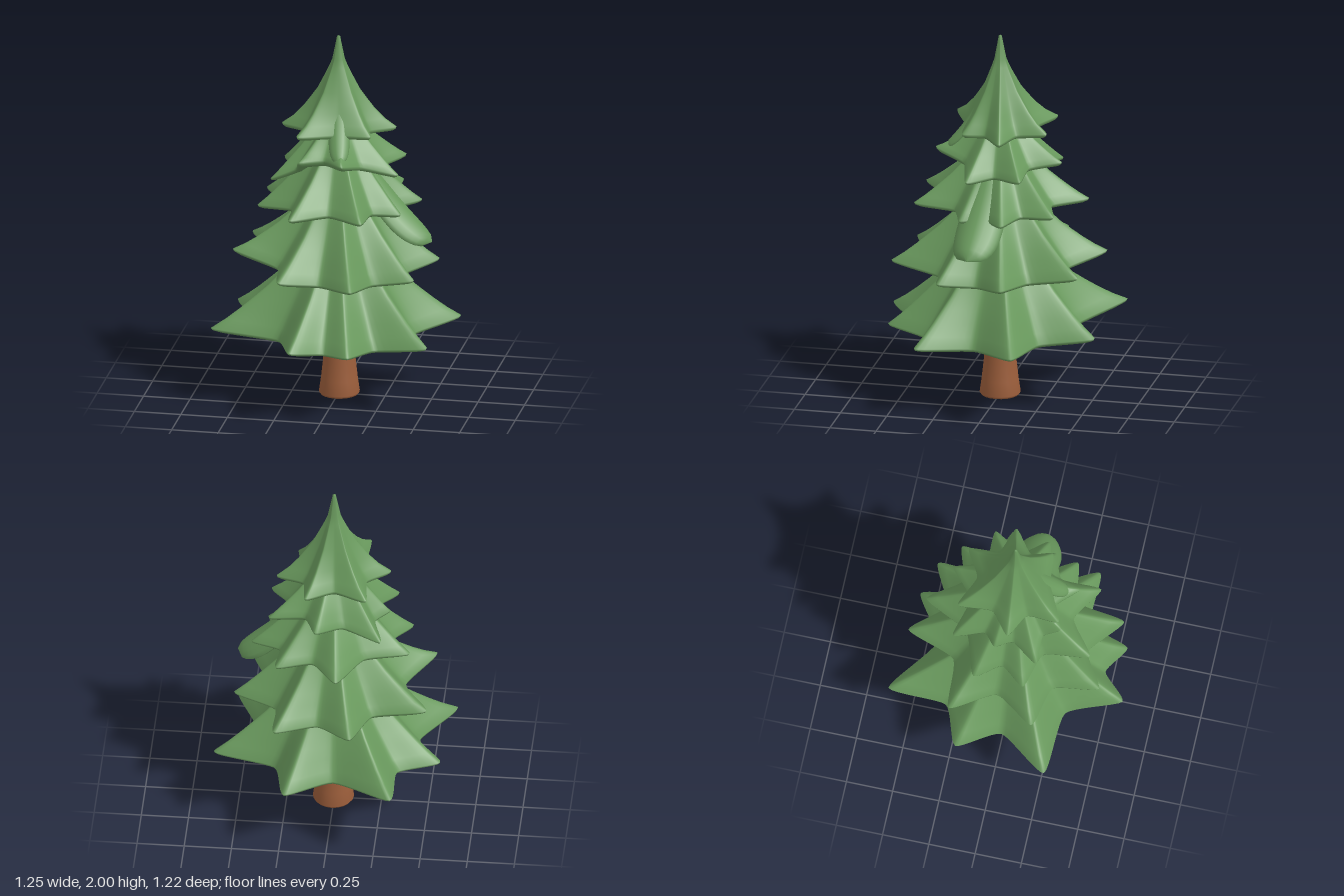
import * as THREE from 'three';

const SEG = 128;

// Height profiles from the axis to the rim: [fraction of radius, fraction of height]
const SKIRT = [[0, 1.04], [0.1, 1], [0.2, 0.82], [0.3, 0.7], [0.4, 0.58], [0.5, 0.47], [0.6, 0.36], [0.7, 0.265], [0.8, 0.17], [0.9, 0.08], [1, 0]];
const CROWN = [[0, 1], [0.035, 0.99], [0.06, 0.92], [0.13, 0.74], [0.19, 0.66], [0.25, 0.59], [0.41, 0.41], [0.54, 0.3], [0.66, 0.2], [0.82, 0.09], [1, 0]];
// Rolled rim and shallow underside: [fraction of radius, height offset]
const UNDER = [[0.99, -0.012], [0.95, -0.022], [0.86, -0.025], [0.7, -0.012], [0.5, 0.008], [0.25, 0.025], [0, 0.03]];

// Star-shaped tiers: tips are [x, z, y] in order around the trunk,
// dip is how far the notches between them sit below the tips
const TIERS = [
  { name: 'bottomTier', rim: 0.395, dip: 0.025, height: 0.64, profile: SKIRT, tips: [
    [-0.35, -0.61, 0.46], [0.22, -0.56, 0.42], [0.62, -0.2, 0.41], [0.54, 0.34, 0.4],
    [0.16, 0.57, 0.4], [-0.15, 0.61, 0.42], [-0.63, 0.29, 0.42], [-0.58, -0.2, 0.42]] },
  { name: 'lowerTier', rim: 0.74, dip: 0.03, height: 0.56, profile: SKIRT, tips: [
    [-0.13, -0.55, 0.8], [0.28, -0.48, 0.77], [0.52, -0.12, 0.75], [0.45, 0.24, 0.74],
    [0.17, 0.55, 0.76], [-0.23, 0.5, 0.77], [-0.53, 0.2, 0.84], [-0.51, -0.25, 0.79]] },
  { name: 'middleTier', rim: 1.1, dip: 0, height: 0.42, profile: SKIRT, tips: [
    [-0.05, -0.47, 1.11], [0.28, -0.35, 1.1], [0.43, -0.1, 1.08], [0.36, 0.14, 1.07],
    [0.2, 0.42, 1.1], [-0.18, 0.44, 1.1], [-0.41, 0.13, 1.07], [-0.41, -0.14, 1.08]] },
  { name: 'upperTier', rim: 1.32, dip: 0, height: 0.32, profile: SKIRT, tips: [
    [-0.27, -0.28, 1.25], [0.07, -0.35, 1.34], [0.33, -0.18, 1.3], [0.34, 0.11, 1.28],
    [0.08, 0.33, 1.38], [-0.16, 0.28, 1.37], [-0.33, 0.18, 1.24], [-0.3, -0.05, 1.29]] },
  { name: 'crown', rim: 1.5, dip: 0, height: 0.5, profile: CROWN, tips: [
    [-0.19, -0.27, 1.51], [0.13, -0.28, 1.51], [0.3, -0.06, 1.49], [0.2, 0.16, 1.5],
    [-0.17, 0.27, 1.51], [-0.3, 0.02, 1.5]] },
];

// Single drooping boughs: direction in degrees, root and tip [radius, y], half width
const BOUGHS = [
  { name: 'sideBough', angle: 7, root: [0.18, 1.24], tip: [0.52, 0.9], width: 0.16 },
  { name: 'frontBough', angle: 78, root: [0.08, 1.67], tip: [0.29, 1.38], width: 0.07 },
];

// Skin a list of closed rings of points with quads
function loft(rings) {
  const n = rings[0].length, pos = [], index = [];
  for (const ring of rings) for (const p of ring) pos.push(p.x, p.y, p.z);
  for (let i = 0; i < rings.length - 1; i++) {
    for (let j = 0; j < n; j++) {
      const k = (j + 1) % n;
      const a = i * n + j, b = i * n + k, c = a + n, d = b + n;
      index.push(a, b, c, b, d, c);
    }
  }
  const geometry = new THREE.BufferGeometry();
  geometry.setAttribute('position', new THREE.Float32BufferAttribute(pos, 3));
  geometry.setIndex(index);
  geometry.computeVertexNormals();
  return geometry;
}

// Closed star outline through the tips, with a notch between each pair
function starOutline({ tips, dip }) {
  const points = [];
  tips.forEach(([x, z, y], i) => {
    const [x2, z2, y2] = tips[(i + 1) % tips.length];
    const a = Math.atan2(z, x);
    let gap = Math.atan2(z2, x2) - a;
    if (gap < 0) gap += Math.PI * 2;
    const notch = Math.max(0.64, 1 - 0.4 * gap) * (Math.hypot(x, z) + Math.hypot(x2, z2)) / 2;
    points.push(new THREE.Vector3(x, y, z));
    points.push(new THREE.Vector3(notch * Math.cos(a + gap / 2), (y + y2) / 2 - dip, notch * Math.sin(a + gap / 2)));
  });
  return new THREE.CatmullRomCurve3(points, true, 'catmullrom', 0.28).getPoints(SEG).slice(0, SEG);
}

function tierGeometry(tier) {
  const outline = starOutline(tier);
  const mean = outline.reduce((s, p) => s + Math.hypot(p.x, p.z), 0) / SEG;
  // Rings are round near the trunk and grow into the star at the rim
  const ring = (t, lift) => outline.map((p) => {
    const r = Math.hypot(p.x, p.z);
    const s = t * THREE.MathUtils.lerp(mean / r, 1, Math.pow(t, 0.85));
    return new THREE.Vector3(p.x * s, tier.rim + (p.y - tier.rim) * t * t + lift, p.z * s);
  });
  return loft([
    ...tier.profile.map(([t, h]) => ring(t, h * tier.height)),
    ...UNDER.map(([t, dy]) => ring(t, dy)),
  ]);
}

// Flattened, arched leaf shape running outwards and down
function boughGeometry({ angle, root, tip, width }) {
  const a = THREE.MathUtils.degToRad(angle);
  const out = new THREE.Vector3(Math.cos(a), 0, Math.sin(a));
  const side = new THREE.Vector3(-Math.sin(a), 0, Math.cos(a));
  const rings = [];
  for (let i = 0; i <= 14; i++) {
    const t = i / 14;
    const r = THREE.MathUtils.lerp(root[0], tip[0], t);
    const y = THREE.MathUtils.lerp(root[1], tip[1], t) - 0.03 * Math.sin(Math.PI * t);
    const w = width * Math.sqrt(Math.max(0, 1 - Math.pow(t, 3))) * (0.7 + 0.3 * t);
    const ring = [];
    for (let j = 0; j < 16; j++) {
      const b = j / 16 * Math.PI * 2;
      const droop = -0.3 * w * Math.cos(b) ** 2;
      ring.push(out.clone().multiplyScalar(r + 0.17 * w * Math.sin(b) + 0.6 * droop)
        .addScaledVector(side, w * Math.cos(b))
        .setY(y + 0.25 * w * Math.sin(b) + droop));
    }
    rings.push(ring.reverse());
  }
  return loft(rings);
}

export function createModel() {
  const group = new THREE.Group();
  const needles = new THREE.MeshStandardMaterial({ color: 0x69995d });
  needles.name = 'needleGreen';
  const bark = new THREE.MeshStandardMaterial({ color: 0x9c5e3b });
  bark.name = 'barkBrown';
  const add = (name, geometry, material) => {
    const mesh = new THREE.Mesh(geometry, material);
    mesh.name = name;
    group.add(mesh);
  };

  // Trunk flaring towards the ground, with a softly rounded foot
  const trunk = [[0, 0], [0.1, 0.002], [0.109, 0.015], [0.098, 0.09], [0.086, 0.2], [0.077, 0.35], [0.07, 0.55]];
  const trunkGeometry = new THREE.LatheGeometry(trunk.map(([r, y]) => new THREE.Vector2(r, y)), 20);
  trunkGeometry.translate(0.004, 0, 0);
  add('trunk', trunkGeometry, bark);

  // Foliage
  for (const tier of TIERS) add(tier.name, tierGeometry(tier), needles);
  for (const bough of BOUGHS) add(bough.name, boughGeometry(bough), needles);
  return group;
}
